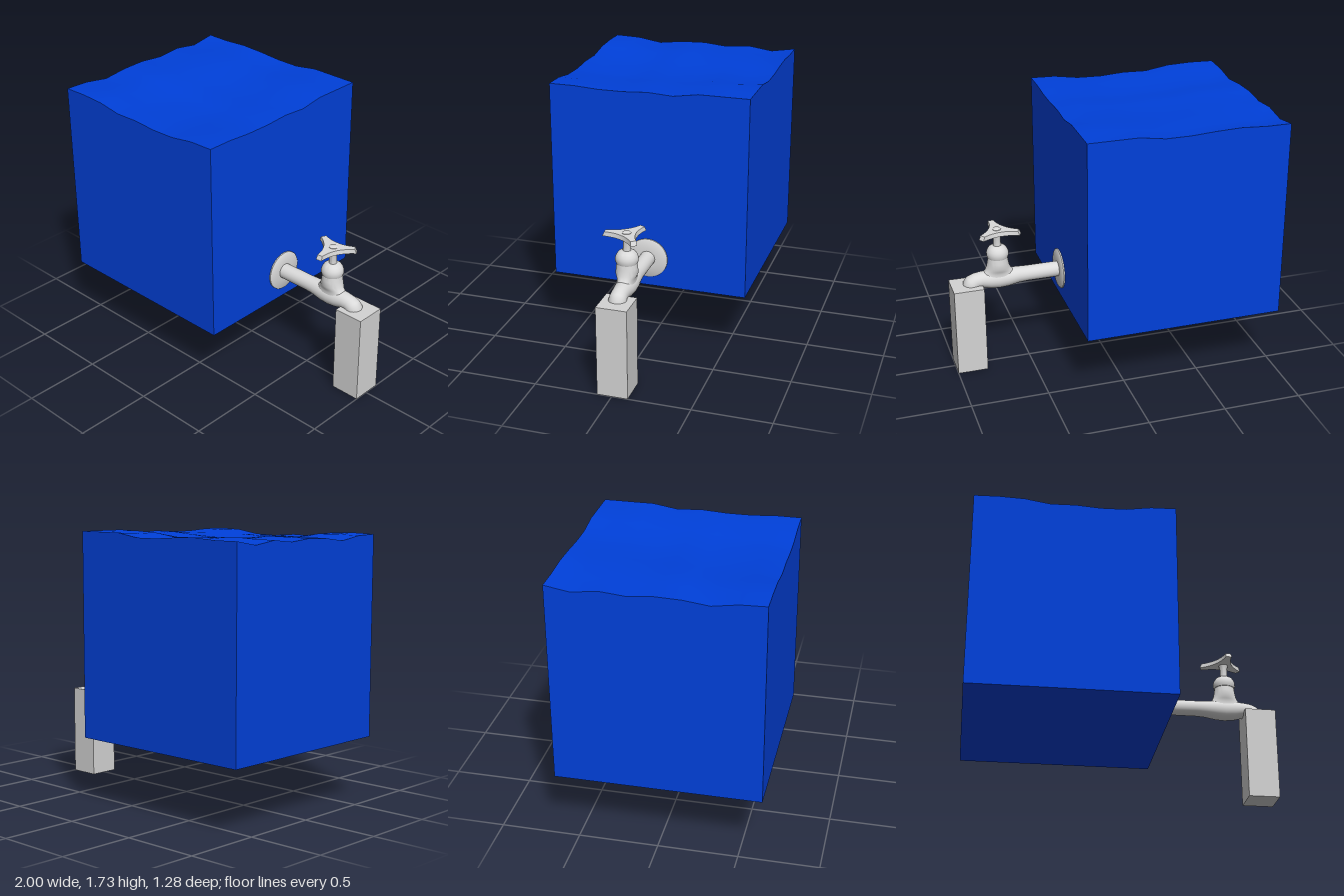
import * as THREE from 'three';
import { toCreasedNormals } from 'three/addons/utils/BufferGeometryUtils.js';

const water = new THREE.MeshStandardMaterial({ color: 0x0040da });
water.name = 'water blue';
const metal = new THREE.MeshStandardMaterial({ color: 0xdadada, side: THREE.DoubleSide });
metal.name = 'tap grey';
const stone = new THREE.MeshStandardMaterial({ color: 0xd4d4d4 });
stone.name = 'block grey';

const TAP_X = 0.69;

function part(name, geometry, material, x = 0, y = 0, z = 0) {
  const mesh = new THREE.Mesh(geometry, material);
  mesh.name = name;
  mesh.position.set(x, y, z);
  return mesh;
}

// Smooth turned part from [radius, height] pairs
function turned(profile, segments = 40) {
  const geo = new THREE.LatheGeometry(profile.map(([r, y]) => new THREE.Vector2(r, y)), segments);
  return toCreasedNormals(geo, 0.7);
}

// Cube of water: ripple heights along the four rims, blended across the surface
function waterCube() {
  const n = 8, size = 1.28, base = 1.7;
  const front = [5, 10, 5, -20, -15, -25, -20, 5, 10];
  const back = [5, 5, 15, 10, 0, 0, 25, 25, 25];
  const left = [5, -22, 0, -15, 0, -5, -25, 0, 5];
  const right = [25, 25, 25, 0, 10, 0, 0, 10, 10];
  const mix = THREE.MathUtils.lerp;
  const geo = new THREE.BoxGeometry(size, size, size, n, 1, n);
  const p = geo.attributes.position;
  for (let k = 0; k < p.count; k++) {
    if (p.getY(k) < 0) {
      p.setY(k, 0.42);
      continue;
    }
    const u = p.getX(k) / size + 0.5, v = p.getZ(k) / size + 0.5;
    const i = Math.round(u * n), j = Math.round(v * n);
    const corners = mix(mix(back[0], back[n], u), mix(front[0], front[n], u), v);
    const h = mix(back[i], front[i], v) + mix(left[j], right[j], u) - corners;
    p.setY(k, base + h / 1000);
  }
  geo.computeVertexNormals();
  return part('waterCube', geo, water, -0.36, 0, 0);
}

// Pipe, swollen body and drooping spout: round sections [x, y, radius, tilt]
function spoutGeometry() {
  const sections = [
    [0.28, 0.612, 0.05, 0], [0.5, 0.612, 0.05, 0], [0.56, 0.611, 0.053, 0],
    [0.63, 0.606, 0.061, 0], [0.69, 0.604, 0.063, 0], [0.75, 0.607, 0.06, 0],
    [0.8, 0.611, 0.053, -0.15], [0.835, 0.608, 0.052, -0.4], [0.858, 0.599, 0.054, -0.75],
    [0.868, 0.585, 0.057, -1.2], [0.87, 0.555, 0.054, -1.57],
  ];
  const sides = 28, pos = [], index = [];
  sections.forEach(([x, y, r, a], i) => {
    for (let j = 0; j < sides; j++) {
      const t = (j / sides) * Math.PI * 2, up = r * Math.cos(t);
      pos.push(x - up * Math.sin(a), y + up * Math.cos(a), r * Math.sin(t));
      if (i === sections.length - 1) continue;
      const s = i * sides + j, b = i * sides + ((j + 1) % sides);
      index.push(s, b, s + sides, b, b + sides, s + sides);
    }
  });
  const geo = new THREE.BufferGeometry();
  geo.setAttribute('position', new THREE.Float32BufferAttribute(pos, 3));
  geo.setIndex(index);
  geo.computeVertexNormals();
  return geo;
}

// Neck that spreads along the pipe at its foot but stays narrow across it
function neckGeometry() {
  const geo = turned([
    [0.13, 0.635], [0.105, 0.653], [0.085, 0.672], [0.074, 0.695], [0.067, 0.73], [0.062, 0.768],
  ]);
  const p = geo.attributes.position;
  for (let k = 0; k < p.count; k++) {
    const foot = THREE.MathUtils.smoothstep(0.71 - p.getY(k), 0, 0.075);
    p.setZ(k, p.getZ(k) * (1 - 0.58 * foot));
  }
  geo.computeVertexNormals();
  return toCreasedNormals(geo, 0.7);
}

// Three-armed handle with concave edges, blunt tips and sloping sides
function handleGeometry() {
  const shape = new THREE.Shape();
  const reach = 0.15, half = 0.13;
  for (let k = 0; k <= 3; k++) {
    const a = THREE.MathUtils.degToRad(-85 + 120 * k);
    const corner = (s) => [reach * Math.cos(a + s * half), reach * Math.sin(a + s * half)];
    if (k === 0) {
      shape.moveTo(...corner(1));
      continue;
    }
    const valley = a - Math.PI / 3;
    shape.quadraticCurveTo(0.03 * Math.cos(valley), 0.03 * Math.sin(valley), ...corner(-1));
    shape.lineTo(...corner(1));
  }
  const geo = new THREE.ExtrudeGeometry(shape, { depth: 0.028, bevelEnabled: false, curveSegments: 14 });
  geo.rotateX(-Math.PI / 2);
  const p = geo.attributes.position;
  for (let k = 0; k < p.count; k++) {
    if (p.getY(k) > 0.01) p.setXYZ(k, p.getX(k) * 0.92, p.getY(k), p.getZ(k) * 0.92);
  }
  return toCreasedNormals(geo, 0.7);
}

function tap() {
  const group = new THREE.Group();
  group.name = 'tap';

  // Wall plate
  const plate = turned([[0, 0], [0.13, 0], [0.13, 0.008], [0.122, 0.014], [0.05, 0.016]], 48);
  plate.rotateZ(-Math.PI / 2);
  group.add(part('wallPlate', plate, metal, 0.28, 0.612));

  group.add(part('pipeAndSpout', spoutGeometry(), metal));

  // Upright neck, rounded collar and stem
  group.add(part('neck', neckGeometry(), metal, TAP_X));
  group.add(part('collar', turned([
    [0.055, 0.755], [0.066, 0.76], [0.071, 0.775], [0.071, 0.795], [0.066, 0.81],
    [0.055, 0.828], [0.04, 0.838], [0.024, 0.842],
  ]), metal, TAP_X));
  group.add(part('stem', turned([
    [0.025, 0.835], [0.023, 0.9], [0.03, 0.926],
  ], 24), metal, TAP_X));

  group.add(part('handle', handleGeometry(), metal, TAP_X - 0.005, 0.926));
  group.add(part('handleScrew', turned([
    [0.028, 0.945], [0.028, 0.957], [0.02, 0.962], [0, 0.963],
  ], 24), metal, TAP_X));
  return group;
}

export function createModel() {
  const model = new THREE.Group();
  model.name = 'waterCubeWithTap';
  model.add(waterCube(), tap());
  // Square column under the spout
  model.add(part('column', new THREE.BoxGeometry(0.196, 0.59, 0.196), stone, 0.902, 0.295, -0.004));
  return model;
}
